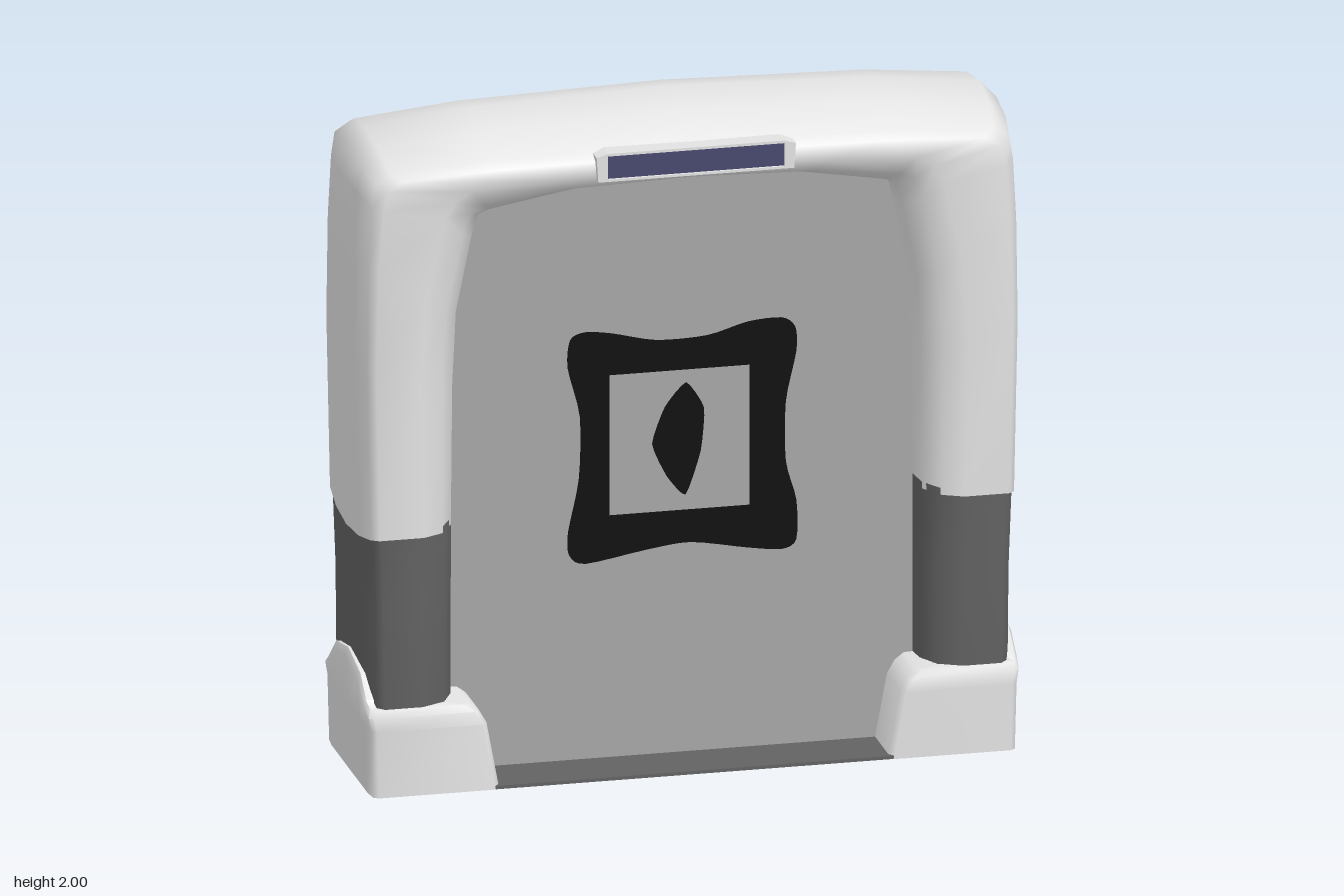
import * as THREE from 'three';
import { toCreasedNormals } from 'three/addons/utils/BufferGeometryUtils.js';

const mat = (name, color, side = THREE.FrontSide) => {
  const m = new THREE.MeshStandardMaterial({ color, side });
  m.name = name;
  return m;
};

// Skin over cross-sections; each is a half ring from z = 0 outside to z = 0 inside, mirrored in z
function loft(halfRings, capStart, capEnd, crease = 0.8) {
  const rings = halfRings.map(h => [...h, ...h.slice(1, -1).reverse().map(([x, y, z]) => [x, y, -z])]);
  const n = rings[0].length, pos = rings.flat(2), idx = [];
  for (let s = 0; s < rings.length - 1; s++) {
    for (let j = 0; j < n; j++) {
      const a = s * n + j, b = s * n + (j + 1) % n;
      idx.push(a, a + n, b, b, a + n, b + n);
    }
  }
  const cap = (s, flip) => {
    const c = pos.length / 3;
    for (let k = 0; k < 3; k++) pos.push(rings[s].reduce((t, p) => t + p[k], 0) / n);
    for (let j = 0; j < n; j++) {
      const a = s * n + j, b = s * n + (j + 1) % n;
      idx.push(c, flip ? b : a, flip ? a : b);
    }
  };
  if (capStart) cap(0, false);
  if (capEnd) cap(rings.length - 1, true);
  const g = new THREE.BufferGeometry();
  g.setAttribute('position', new THREE.Float32BufferAttribute(pos, 3));
  g.setIndex(idx);
  return toCreasedNormals(g, crease);
}

const shapeOf = pts => new THREE.Shape(pts.map(p => new THREE.Vector2(...p)));
const smoothShape = (pts, tension) => new THREE.Shape(
  new THREE.CatmullRomCurve3(pts.map(([x, y]) => new THREE.Vector3(x, y, 0)), true, 'catmullrom', tension)
    .getPoints(pts.length * 4).slice(0, -1).map(p => new THREE.Vector2(p.x, p.y)));

export function createModel() {
  const root = new THREE.Group();
  root.name = 'gateway';
  const white = mat('shellWhite', 0xe2e2e2, THREE.DoubleSide);
  const grey = mat('panelGrey', 0xa6a6a6);
  const dark = mat('legGrey', 0x626262);
  const navy = mat('lampNavy', 0x46466e);
  const black = mat('emblemBlack', 0x0b0b0b);
  const add = (parent, name, geometry, material) => {
    const m = new THREE.Mesh(geometry, material);
    m.name = name;
    parent.add(m);
    return m;
  };

  // Arched shell: crown line, outer front edge, face edge and inner lip at each station
  const half = [
    [[0.965, 0.745], [0.95, 0.78], [0.8, 0.78], [0.69, 0.78]],
    [[0.98, 1.3], [0.96, 1.3], [0.81, 1.25], [0.685, 1.2]],
    [[0.98, 1.6], [0.955, 1.6], [0.79, 1.5], [0.675, 1.42]],
    [[0.973, 1.8], [0.945, 1.78], [0.74, 1.74], [0.63, 1.64]],
    [[0.96, 1.89], [0.935, 1.845], [0.71, 1.79], [0.612, 1.71]],
    [[0.91, 1.945], [0.89, 1.87], [0.66, 1.82], [0.58, 1.722]],
    [[0.6, 1.98], [0.6, 1.885], [0.4, 1.83], [0.33, 1.767]],
    [[0, 2], [0, 1.89], [0, 1.835], [0, 1.78]],
  ];
  const stations = [...half, ...half.slice(0, -1).reverse().map(s => s.map(([x, y]) => [-x, y]))];
  const mix = (a, b, t, z) => [a[0] + (b[0] - a[0]) * t, a[1] + (b[1] - a[1]) * t, z];
  add(root, 'archShell', loft(stations.map(([crown, edge, face, lip]) => [
    [...crown, 0], mix(crown, edge, 0.26, 0.14), mix(crown, edge, 0.85, 0.25),
    mix(edge, face, 0.12, 0.28), [...face, 0.28], mix(face, lip, 0.55, 0.25),
    mix(face, lip, 0.93, 0.18), [...lip, 0.1], [...lip, 0],
  ]), true, true, 1.1), white);

  // Central panel
  const panel = new THREE.ExtrudeGeometry(shapeOf([
    [-0.72, 0.01], [0.72, 0.01], [0.72, 1.4], [0.65, 1.73], [0.33, 1.79],
    [0, 1.8], [-0.33, 1.79], [-0.65, 1.73], [-0.72, 1.4],
  ]), { depth: 0.2, bevelEnabled: false });
  add(root, 'panel', panel.translate(0, 0, -0.1), grey);

  // Floor plate
  add(root, 'floorPlate', new THREE.BoxGeometry(1.36, 0.01, 0.56), dark).position.y = 0.005;

  // Legs and feet, the same on both sides
  for (const [side, turn] of [['left', 0], ['right', Math.PI]]) {
    const g = new THREE.Group();
    g.name = side + 'Support';
    g.rotation.y = turn;
    root.add(g);
    const legRing = (y, out, z) => [
      [out, y, 0], [out - 0.005, y, 0.14], [out - 0.015, y, z - 0.02], [out - 0.035, y, z], [0.8, y, z],
      [0.73, y, z - 0.03], [0.695, y, z - 0.1], [0.688, y, 0.1], [0.688, y, 0],
    ];
    add(g, side + 'Leg', loft([
      legRing(0.06, 0.93, 0.25), legRing(0.3, 0.95, 0.264), legRing(0.55, 0.952, 0.266), legRing(0.8, 0.96, 0.272),
    ], true, true, 1.1), dark);

    // Foot with a raised arch on its outer face
    const foot = (inner, outer, z, ys) => [
      [outer, ys[0], 0], [outer, ys[1], 0.15], [outer, ys[2], 0.22], [outer - 0.005, ys[3], z - 0.012],
      [outer - 0.02, ys[3], z], [inner + 0.015, ys[3], z], [inner, ys[3], z - 0.02], [inner, ys[3], 0],
    ];
    add(g, side + 'Foot', loft([
      foot(0.575, 0.955, 0.282, [0, 0, 0, 0]),
      foot(0.612, 0.96, 0.282, [0.2, 0.2, 0.2, 0.2]),
      foot(0.635, 0.967, 0.28, [0.35, 0.32, 0.265, 0.24]),
      foot(0.662, 0.958, 0.268, [0.37, 0.34, 0.28, 0.26]),
      foot(0.72, 0.92, 0.235, [0.37, 0.34, 0.28, 0.262]),
    ], false, false, 1), white);
  }

  // Lamp and emblem on the front and back
  const emblem = smoothShape([
    [-0.325, 1.285], [-0.28, 1.305], [-0.2, 1.295], [-0.07, 1.265], [0.08, 1.268], [0.2, 1.3], [0.3, 1.305],
    [0.34, 1.275], [0.343, 1.2], [0.312, 1.05], [0.312, 0.87], [0.343, 0.75], [0.343, 0.63], [0.3, 0.603],
    [0.2, 0.615], [0.03, 0.645], [-0.1, 0.632], [-0.28, 0.603], [-0.328, 0.63], [-0.332, 0.7], [-0.3, 0.86],
    [-0.297, 1.05], [-0.333, 1.2],
  ], 0.4);
  emblem.holes.push(new THREE.Path([[-0.21, 0.745], [-0.21, 1.17], [0.205, 1.17], [0.205, 0.745]]
    .map(p => new THREE.Vector2(...p))));
  const leaf = smoothShape([
    [0.018, 1.13], [0.07, 1.05], [0.06, 0.92], [0.015, 0.79], [-0.04, 0.85], [-0.083, 0.95], [-0.045, 1.06],
  ], 0.25);
  const thin = { depth: 0.004, bevelEnabled: false };
  for (const [name, turn] of [['front', 0], ['back', Math.PI]]) {
    const g = new THREE.Group();
    g.name = name + 'Details';
    g.rotation.y = turn;
    root.add(g);
    add(g, 'emblemBorder', new THREE.ExtrudeGeometry(emblem, thin), black).position.z = 0.1;
    add(g, 'emblemLeaf', new THREE.ExtrudeGeometry(leaf, thin), black).position.z = 0.1;

    // Lamp housing with a chamfered rim around the lens
    const rim = shapeOf([[-0.29, 1.825], [0.29, 1.825], [0.295, 1.9], [0.26, 1.91], [-0.26, 1.91], [-0.295, 1.9]]);
    rim.holes.push(new THREE.Path([[-0.262, 1.832], [-0.262, 1.902], [0.262, 1.902], [0.262, 1.832]]
      .map(p => new THREE.Vector2(...p))));
    add(g, 'lampHousing', new THREE.ExtrudeGeometry(rim, { depth: 0.08, bevelEnabled: false }), white).position.z = 0.22;
    add(g, 'lampLens', new THREE.BoxGeometry(0.53, 0.075, 0.008), navy).position.set(0, 1.867, 0.288);
  }
  return root;
}
